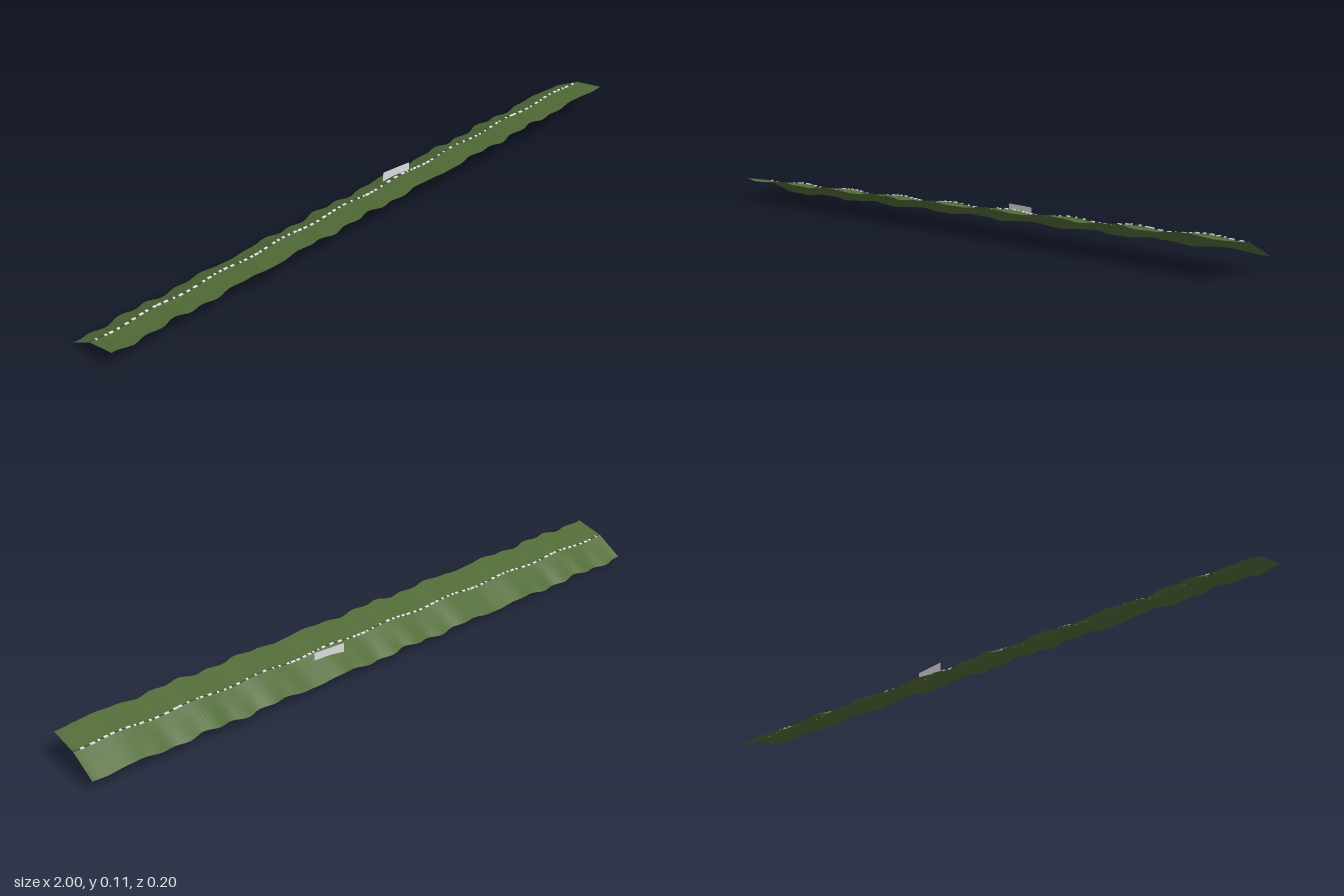
import * as THREE from 'three';

const flat = (name, color, extra = {}) => {
  const m = new THREE.MeshStandardMaterial({ color, ...extra });
  m.name = name;
  return m;
};
const grass = flat('grass green', 0x526c38, { side: THREE.DoubleSide, flatShading: true });
const pale = flat('pale stone', 0xececec);
const dark = flat('dark track', 0x3c3f42, { side: THREE.DoubleSide });
const light = flat('panel light grey', 0xdcdcdc, { side: THREE.DoubleSide });

// Height of the centre line: a gentle climb with rolling bumps
const ridge = (x) => 0.069 + 0.0225 * x + 0.004 * Math.cos(26.5 * (x - 0.15));
// Half width of the strip: two beating ripples
const halfWidth = (x) => 0.093 + 0.003 * (Math.cos(70 * (x + 0.12)) + Math.cos(60.8 * (x + 0.12)));

// Open surface swept along x; section(x) returns [y, z] points from back to front
function sweep(section, steps, from = -1, to = 1) {
  const pos = [], index = [];
  let n = 0;
  for (let i = 0; i <= steps; i++) {
    const x = from + ((to - from) * i) / steps;
    const row = section(x);
    n = row.length;
    for (const [y, z] of row) pos.push(x, y, z);
  }
  for (let i = 0; i < steps; i++) {
    for (let j = 0; j < n - 1; j++) {
      const a = i * n + j, b = a + n;
      index.push(a, a + 1, b, b, a + 1, b + 1);
    }
  }
  const g = new THREE.BufferGeometry();
  g.setAttribute('position', new THREE.Float32BufferAttribute(pos, 3));
  g.setIndex(index);
  g.computeVertexNormals();
  return g;
}

export function createModel() {
  const model = new THREE.Group();
  model.name = 'hillsideTrack';
  const add = (name, geometry, material) => {
    const mesh = new THREE.Mesh(geometry, material);
    mesh.name = name;
    model.add(mesh);
  };

  // Hillside: steep bank behind the centre line, shallow rise in front
  add('hillside', sweep((x) => {
    const y = ridge(x), w = halfWidth(x);
    return [[y - 0.047, -w], [y - 0.001, -0.004], [y, 0.003], [y + 0.015, w]];
  }, 200), grass);

  // Narrow track along the centre line
  add('track', sweep((x) => [[ridge(x) + 0.001, -0.006], [ridge(x) + 0.001, -0.002]], 200), dark);

  // Pale stones scattered irregularly along the track
  const stones = new THREE.Group();
  stones.name = 'trackStones';
  model.add(stones);
  let seed = 7;
  const random = () => (seed = (seed * 16807) % 2147483647) / 2147483647;
  for (let x = -0.98; x < 0.985; x += 0.014 + 0.018 * random()) {
    const stone = new THREE.Mesh(new THREE.BoxGeometry(0.005 + 0.01 * random(), 0.003, 0.006), pale);
    stone.name = 'stone';
    stone.position.set(x, ridge(x) + 0.001, -0.004);
    stones.add(stone);
  }

  // Thin upright panel on the back bank, turned slightly to the track
  add('panel', sweep((x) => {
    const z = -0.031 + 0.107 * (x - 0.165);
    return [[ridge(x) + 0.001 + 0.52 * z, z], [0.0866, z]];
  }, 8, 0.115, 0.215), light);

  return model;
}
